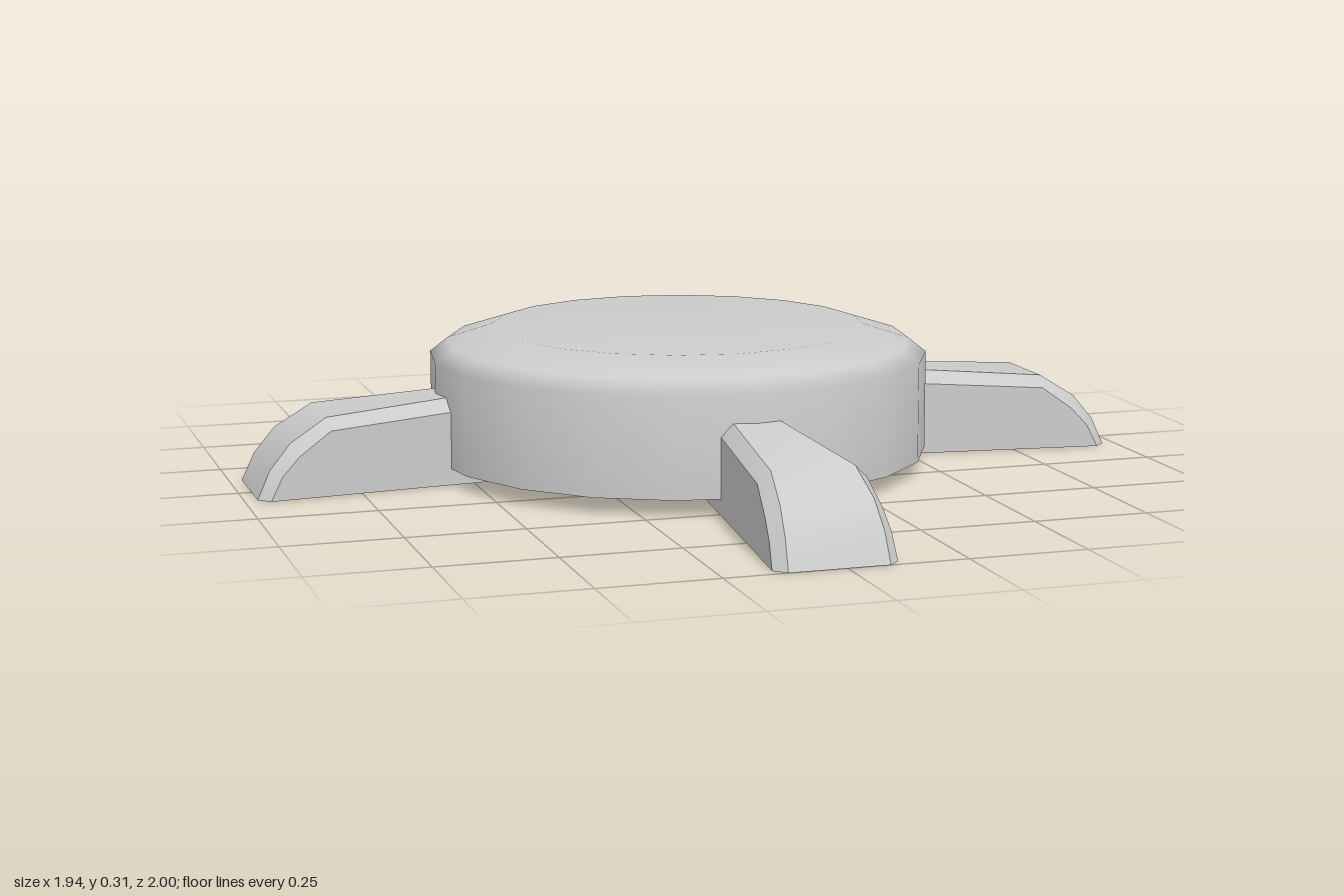
import * as THREE from 'three';
import { toCreasedNormals } from 'three/addons/utils/BufferGeometryUtils.js';

// Stations along a foot: ridge radius, ridge height, shoulder radius, shoulder height,
// half width of the ridge, half width of the sides
const STATIONS = [
  [0.32, 0.205, 0.32, 0.175, 0.033, 0.058],
  [0.82, 0.165, 0.815, 0.14, 0.087, 0.113],
  [0.90, 0.115, 0.885, 0.09, 0.096, 0.121],
  [0.945, 0.06, 0.922, 0.05, 0.101, 0.125],
  [0.972, 0, 0.947, 0, 0.104, 0.128],
];

// Hollow foot pointing along +x, open underneath
function footGeometry() {
  const positions = [];
  const index = [];
  const n = 6;
  for (const [ra, ya, rb, yb, wa, wb] of STATIONS) {
    positions.push(
      rb, 0, wb, rb, yb, wb, ra, ya, wa,
      ra, ya, -wa, rb, yb, -wb, rb, 0, -wb,
    );
  }
  for (let i = 0; i < STATIONS.length - 1; i++) {
    const last = i === STATIONS.length - 2;
    for (let j = 0; j < n - 1; j++) {
      const a = i * n + j, b = a + n;
      index.push(a, b, a + 1);
      // the side walls end in a triangle at the tip
      if (!(last && (j === 0 || j === n - 2))) index.push(b, b + 1, a + 1);
      else if (j === n - 2) index.splice(-3, 3, a, b, a + 1);
    }
  }
  // Inner end cap
  for (let j = 1; j < n - 1; j++) index.push(0, j, j + 1);
  const geometry = new THREE.BufferGeometry();
  geometry.setAttribute('position', new THREE.Float32BufferAttribute(positions, 3));
  geometry.setIndex(index);
  return toCreasedNormals(geometry, 0.6);
}

export function createModel() {
  const group = new THREE.Group();
  const material = new THREE.MeshStandardMaterial({ color: 0xcccccc, side: THREE.DoubleSide });
  const centreX = -0.016, centreZ = -0.025;

  // Round shell with bevelled rim, open underneath
  const profile = [
    [0.548, 0.035], [0.548, 0.25], [0.51, 0.28], [0.41, 0.312], [0, 0.312],
  ].map(([r, y]) => new THREE.Vector2(r, y));
  const body = new THREE.Mesh(new THREE.LatheGeometry(profile, 20), material);
  body.name = 'body';
  body.position.set(centreX, 0, centreZ);
  group.add(body);

  // Four feet; the front and back pair sits slightly further out
  const geometry = footGeometry();
  const feet = [
    ['leftFoot', 0, 0, centreZ],
    ['backFoot', 1, centreX, -0.028],
    ['rightFoot', 2, 0, centreZ],
    ['frontFoot', 3, centreX, 0.028],
  ];
  for (const [name, quarter, x, z] of feet) {
    const foot = new THREE.Mesh(geometry, material);
    foot.name = name;
    foot.rotation.y = quarter * Math.PI / 2;
    foot.position.set(x, 0, z);
    group.add(foot);
  }
  return group;
}
